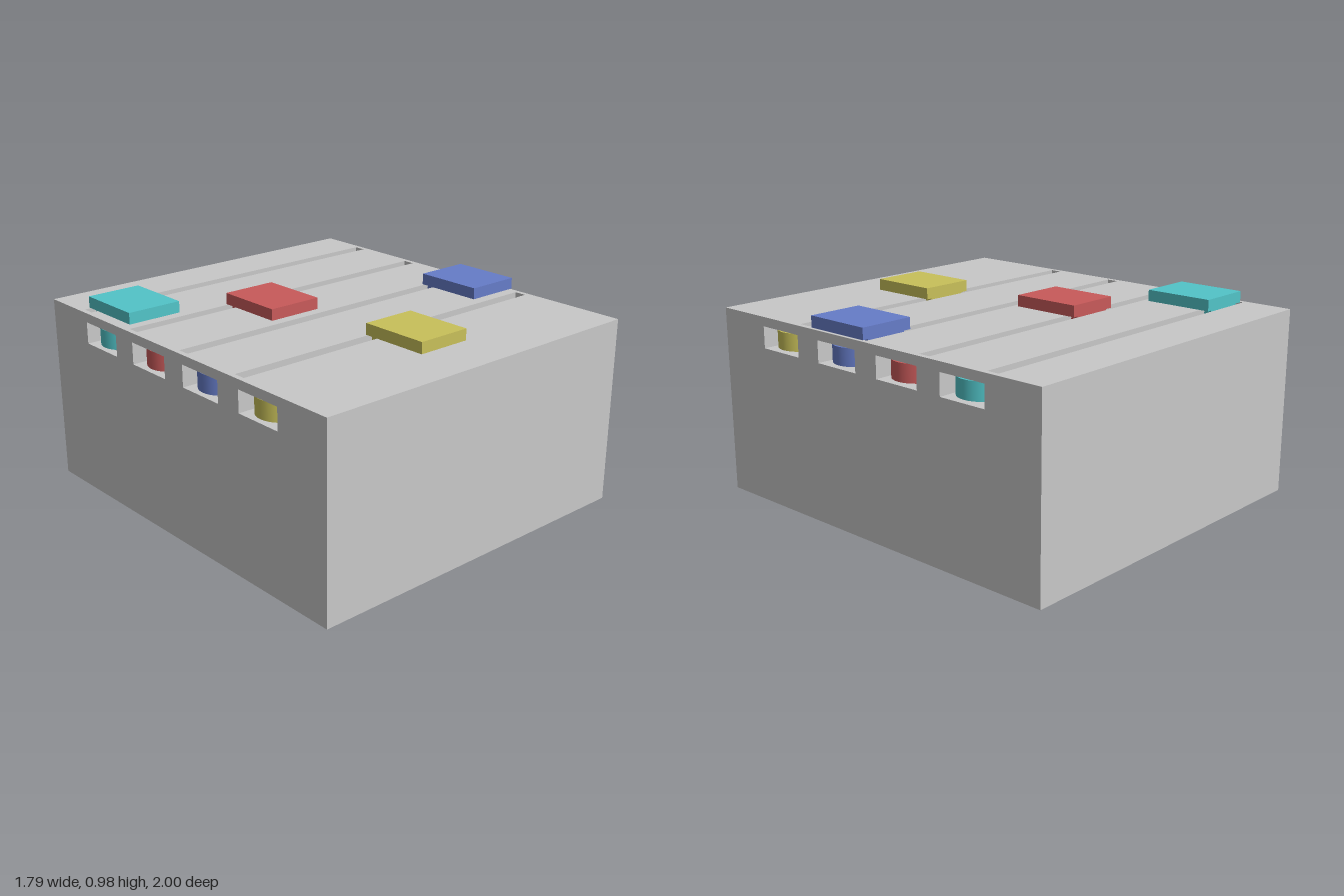
import * as THREE from 'three';

const mat = (name, color) => {
  const m = new THREE.MeshStandardMaterial({ color });
  m.name = name;
  return m;
};

// Rectangle path in plan: x0..x1, z0..z1 (shape y is -z)
const rect = (P, x0, x1, z0, z1) => {
  const p = new P();
  p.moveTo(x0, -z1);
  p.lineTo(x1, -z1);
  p.lineTo(x1, -z0);
  p.lineTo(x0, -z0);
  p.closePath();
  return p;
};

export function createModel() {
  const group = new THREE.Group();
  const grey = mat('grey body', 0xc8c8c8);
  const W = 0.895, FLOOR = 0.765, CEIL = 0.87, TOP = 0.915;

  // Each track: slot start z, slider centre x, colour
  const tracks = [
    { s: -0.755, x: -0.707, m: mat('teal', 0x52c4c8) },
    { s: -0.37, x: -0.188, m: mat('red', 0xc85a5a) },
    { s: 0.015, x: 0.752, m: mat('blue', 0x667cc8) },
    { s: 0.405, x: -0.002, m: mat('yellow', 0xc8c05a) },
  ];

  const add = (name, geo, m, x = 0, y = 0, z = 0, parent = group) => {
    const mesh = new THREE.Mesh(geo, m);
    mesh.name = name;
    mesh.position.set(x, y, z);
    parent.add(mesh);
    return mesh;
  };

  // Horizontal slab with rectangular slots cut through it
  const slab = (name, z0, z1, y0, y1, slots) => {
    const shape = rect(THREE.Shape, -W, W, z0, z1);
    for (const [a, b] of slots) shape.holes.push(rect(THREE.Path, -0.87, 0.87, a, b));
    const geo = new THREE.ExtrudeGeometry(shape, { depth: y1 - y0, bevelEnabled: false });
    geo.rotateX(-Math.PI / 2);
    add(name, geo, grey, 0, y0, 0);
  };

  // Body: solid base, strips between the side-to-side tunnels, slotted lid
  slab('base', -1, 1, 0, FLOOR, []);
  let from = -1;
  for (const { s } of tracks) {
    slab('tunnelWall', from, s + 0.052, FLOOR, CEIL, [[s, s + 0.046]]);
    from = s + 0.302;
  }
  slab('tunnelWall', from, 1, FLOOR, CEIL, []);
  slab('lid', -1, 1, CEIL, TOP, tracks.map(({ s }) => [s, s + 0.06]));

  // Sliders on top, with a stem in the slot and a pulley at each tunnel mouth
  for (const { s, x, m } of tracks) {
    const track = new THREE.Group();
    track.name = m.name + 'Track';
    group.add(track);
    add('slider', new THREE.BoxGeometry(0.275, 0.055, 0.345), m, x, 0.9475, s + 0.173, track);
    add('sliderStem', new THREE.BoxGeometry(0.21, 0.12, 0.038), m, x, 0.86, s + 0.024, track);
    for (const side of [-1, 1]) {
      add('pulley', new THREE.CylinderGeometry(0.112, 0.112, 0.085, 32), m, side * 0.77, 0.8175, s + 0.178, track);
      add('pulleyHub', new THREE.CylinderGeometry(0.066, 0.066, 0.105, 24), m, side * 0.77, 0.8175, s + 0.178, track);
    }
  }
  return group;
}
